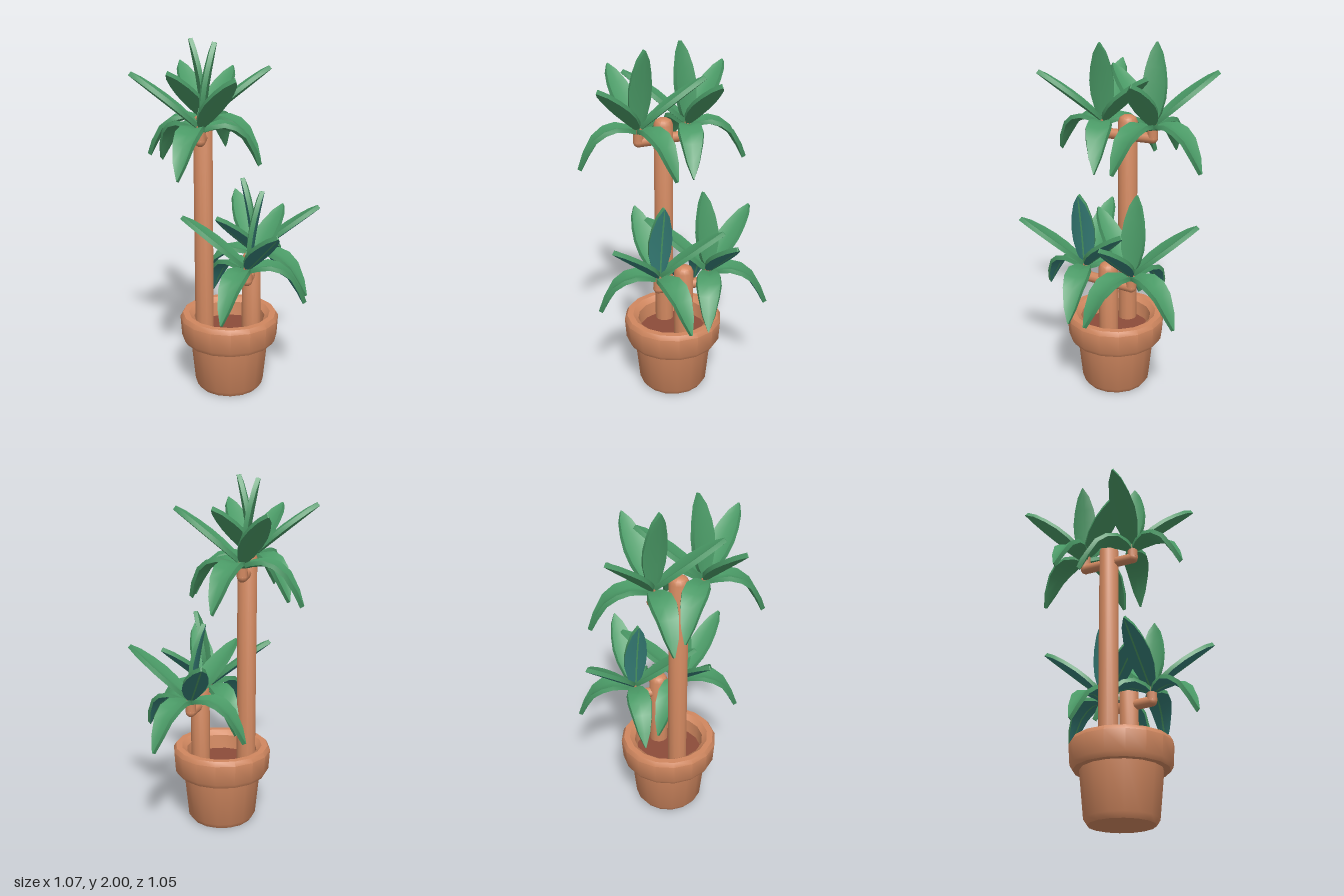
import * as THREE from 'three';
import { toCreasedNormals } from 'three/addons/utils/BufferGeometryUtils.js';

const mat = (name, color) => {
  const m = new THREE.MeshStandardMaterial({ color });
  m.name = name;
  return m;
};
const rad = THREE.MathUtils.degToRad;
const smooth = (g) => toCreasedNormals(g, rad(38));

function mesh(name, geometry, material, parent, x = 0, y = 0, z = 0) {
  const m = new THREE.Mesh(geometry, material);
  m.name = name;
  m.position.set(x, y, z);
  parent.add(m);
  return m;
}

const lathe = (pts, sides) =>
  smooth(new THREE.LatheGeometry(pts.map(([r, y]) => new THREE.Vector2(r, y)), sides));

// Folded, tapering blade swept along a path in the x-y plane.
// Group 0: upper face, rim and midrib. Group 1: underside.
function leafGeometry(path) {
  const curve = new THREE.SplineCurve(path.map(([x, y]) => new THREE.Vector2(x, y)));
  const widths = [0.016, 0.046, 0.067, 0.071, 0.059, 0.036, 0.003];
  const pos = [], main = [], under = [];
  const last = widths.length - 1;
  widths.forEach((w, i) => {
    const p = curve.getPoint(i / last), t = curve.getTangent(i / last);
    const fold = w * 0.25, thick = 0.024, rib = Math.min(0.005, w * 0.4);
    const section = [
      [-w * 0.9, fold], [0, 0], [w * 0.9, fold],
      [w, fold - thick], [rib, -thick], [-rib, -thick], [-w, fold - thick],
    ];
    for (const [z, n] of section) pos.push(p.x - t.y * n, p.y + t.x * n, z);
  });
  const N = 7;
  for (let i = 0; i < last; i++) {
    for (let k = 0; k < N; k++) {
      const a = i * N + k, b = i * N + (k + 1) % N, c = b + N, d = a + N;
      (k === 3 || k === 5 ? under : main).push(a, b, c, a, c, d);
    }
  }
  // end caps, split along the midrib
  const e = last * N;
  for (const [a, b, c] of [[0, 1, 6], [1, 5, 6], [1, 4, 5], [1, 3, 4], [1, 2, 3]]) {
    main.push(e + a, e + b, e + c, a, c, b);
  }
  const g = new THREE.BufferGeometry();
  g.setAttribute('position', new THREE.Float32BufferAttribute(pos, 3));
  g.setIndex([...main, ...under]);
  g.addGroup(0, main.length, 0);
  g.addGroup(main.length, under.length, 1);
  return smooth(g);
}

export function createModel() {
  const root = new THREE.Group();
  root.name = 'pottedPlant';
  const clay = mat('terracotta', 0xd0875f);
  const soilMat = mat('soil', 0x8c4c3a);
  const green = mat('leafGreen', 0x4a9a66);
  const teal = mat('leafTeal', 0x367f78);

  // Pot with a thick rounded rim
  const pot = new THREE.Group();
  pot.name = 'pot';
  pot.position.set(0.027, 0, 0.008);
  root.add(pot);
  mesh('potBody', lathe([[0, 0], [0.18, 0], [0.2, 0.03], [0.228, 0.31]], 16), clay, pot);
  mesh('potRim', lathe([
    [0.2, 0.29], [0.262, 0.29], [0.277, 0.315], [0.285, 0.43], [0.27, 0.455],
    [0.235, 0.455], [0.205, 0.43], [0.192, 0.335],
  ], 16), clay, pot);
  mesh('soil', new THREE.CylinderGeometry(0.196, 0.196, 0.03, 16), soilMat, pot, 0, 0.335, 0);

  // Leaf shapes; each crown of a pair has its own directions
  const leafKinds = [
    {
      name: 'raisedLeaf',
      geo: leafGeometry([[0, 0], [0.178, 0.142], [0.354, 0.283]]),
      angles: [[16, 134.5, 256], [20, 137, 258]],
    },
    {
      name: 'droopingLeaf',
      geo: leafGeometry([[0, -0.02], [0.12, 0.002], [0.243, -0.06], [0.338, -0.222]]),
      angles: [[65, 183, 305], [67, 160, 325]],
    },
    {
      name: 'uprightLeaf',
      geo: leafGeometry([[0, 0], [0.028, 0.215], [0.068, 0.432]]),
      angles: [[-48], [-48]],
    },
  ];

  // One stem with two opposite side shoots, each carrying a crown
  function addPlant(name, x, z, crownY, turn, underside) {
    const plant = new THREE.Group();
    plant.name = name;
    plant.position.set(x, 0, z);
    plant.rotation.y = -rad(turn);
    root.add(plant);
    const top = crownY + 0.032;
    mesh('trunk', lathe([
      [0.055, 0.33], [0.055, top - 0.035], [0.045, top - 0.012], [0.025, top], [0, top],
    ], 12), clay, plant);

    for (const half of [0, 1]) {
      const side = new THREE.Group();
      side.name = 'sideShoot';
      side.position.y = crownY;
      side.rotation.y = half * Math.PI;
      plant.add(side);
      const cx = 0.095, cz = 0.115, reach = Math.hypot(cx, cz);
      const arm = new THREE.CylinderGeometry(0.03, 0.03, reach, 10).rotateZ(Math.PI / 2);
      mesh('branchArm', arm, clay, side, cx / 2, -0.085, cz / 2).rotation.y = -Math.atan2(cz, cx);
      mesh('branchElbow', new THREE.SphereGeometry(0.03, 10, 8), clay, side, cx, -0.085, cz);
      mesh('branchTip', new THREE.CylinderGeometry(0.028, 0.03, 0.085, 10), clay, side, cx, -0.0425, cz);

      const crown = new THREE.Group();
      crown.name = 'leafCrown';
      crown.position.set(cx, 0, cz);
      side.add(crown);
      for (const { name: leafName, geo, angles } of leafKinds) {
        for (const a of angles[half]) {
          mesh(leafName, geo, [green, underside], crown).rotation.y = -rad(a);
        }
      }
    }
  }
  addPlant('tallPlant', -0.093, 0.093, 1.568, 0, green);
  addPlant('shortPlant', 0.117, -0.08, 0.785, 7, teal);
  return root;
}
